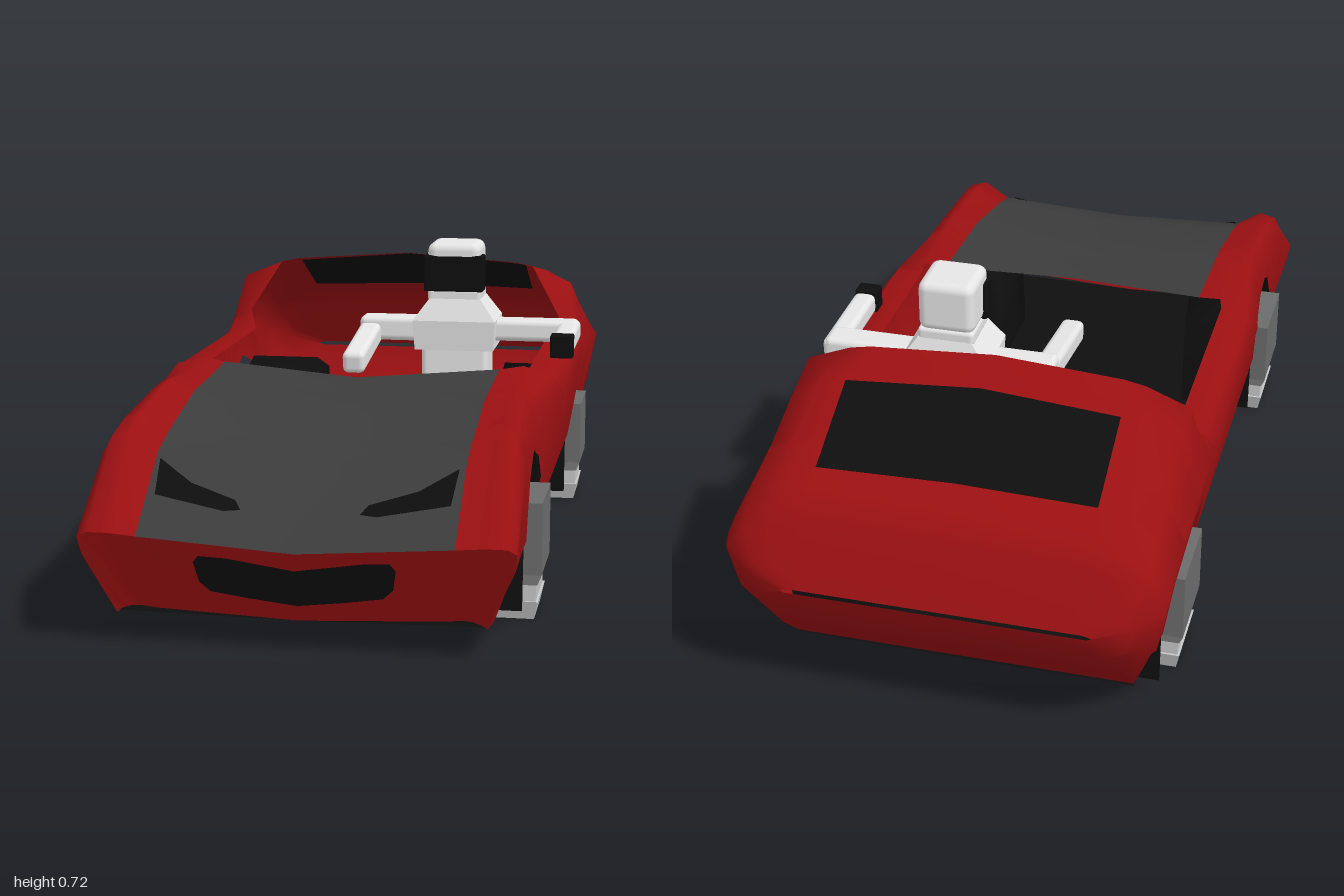
import * as THREE from 'three';
import { RoundedBoxGeometry } from 'three/addons/geometries/RoundedBoxGeometry.js';

const paint = (name, color) => {
  const m = new THREE.MeshStandardMaterial({ color, side: THREE.DoubleSide });
  m.name = name;
  return m;
};
const RED = 0, GREY = 1, BLACK = 2;

// Half sections: z, y0, then x,y of the panel edge, shoulder, upper corner, side, [sill, bottom]
const hoodKeys = [
  [1, .222, .33, .245, .39, .25, .435, .25, .455, .24, .45, .2, .39, .065],
  [.81, .37, .33, .385, .39, .425, .43, .415, .452, .375],
  [.73, .39, .33, .408, .39, .448, .425, .438, .448, .39],
  [.5, .435, .33, .457, .39, .48, .42, .465, .444, .41],
  [.37, .445, .33, .464, .39, .472, .43, .46, .46, .415],
  [.2, .455, .33, .474, .385, .482, .45, .465, .482, .42],
];
const cabinKeys = [
  [.195, .455, .33, .46, .39, .46, .455, .455, .484, .42],
  [-.38, .46, .33, .46, .39, .46, .455, .455, .485, .425],
  [-.44, .5, .31, .5, .415, .505, .455, .49, .485, .43],
  [-.49, .66, .29, .64, .34, .63, .44, .59, .485, .44],
];
const tailKeys = [
  [-.61, .645, .31, .62, .37, .605, .437, .565, .485, .43],
  [-.76, .562, .31, .552, .38, .54, .44, .51, .485, .42],
  [-.79, .548, .31, .538, .38, .527, .44, .5, .485, .415, .45, .2, .39, .05],
  [-.82, .535, .31, .526, .38, .515, .44, .49, .485, .41, .45, .21, .39, .08],
  [-.87, .51, .31, .503, .38, .493, .44, .47, .485, .4, .455, .23, .39, .13],
  [-.91, .49, .31, .483, .38, .472, .44, .45, .485, .385, .46, .25, .385, .175],
  [-.935, .45, .31, .445, .38, .438, .44, .42, .482, .37, .455, .27, .38, .205],
  [-.978, .375, .3, .372, .36, .37, .4, .365, .425, .345, .41, .29, .36, .26],
  [-1, .33, .2, .33, .27, .33, .32, .33, .34, .325, .33, .32, .28, .32],
];
const keys = [...hoodKeys, ...cabinKeys, ...tailKeys]
  .map(k => (k.length < 14 ? [...k, .447, .2, .39, .045] : k));

// Wheel arch outlines as z, y
const arches = [
  [[.73, .045], [.71, .24], [.65, .32], [.56, .36], [.47, .33], [.42, .27], [.408, .045]],
  [[-.388, .045], [-.4, .22], [-.42, .31], [-.57, .355], [-.745, .3], [-.76, .045]],
];

// Linear interpolation in a table whose first column falls
function sample(table, z) {
  for (let i = 0; i < table.length - 1; i++) {
    const a = table[i], b = table[i + 1];
    if (z <= a[0] && z >= b[0]) {
      const t = (a[0] - z) / (a[0] - b[0]);
      return a.map((v, n) => v + (b[n] - v) * t);
    }
  }
  return null;
}
const archHeight = z => {
  for (const a of arches) { const s = sample(a, z); if (s) return s[1]; }
  return 0;
};

// Half section points at z, with the lower side lifted to the wheel arch
function section(z) {
  const s = sample(keys, z), p = [[0, s[1], z]];
  for (let n = 2; n < 14; n += 2) p.push([s[n], s[n + 1], z]);
  const h = archHeight(z);
  if (h > p[6][1]) {
    const [a, b] = h > p[5][1] ? [p[4], p[5]] : [p[5], p[6]];
    const t = (a[1] - h) / (a[1] - b[1]);
    const q = [a[0] + (b[0] - a[0]) * t, h, z];
    if (h > p[5][1]) p[5] = q;
    p[6] = q;
  }
  p.push([0, p[6][1], z]);
  if (z === 1) { p[5][2] = .985; p[6][2] = .94; }
  if (z === .2) { p[0][2] = .265; p[1][2] = .21; }
  return p;
}

// Mirror a half row starting on the centre line
const mirrorRow = half => [
  ...half.slice(1).reverse().map(([x, y, z]) => [-x, y, z]), ...half];

// Surface through rows of points; pick(row, column) gives a material index, or -1 for a gap
function grid(name, rows, materials, pick = () => 0) {
  const n = rows[0].length, lists = materials.map(() => []);
  for (let i = 0; i < rows.length - 1; i++) for (let k = 0; k < n - 1; k++) {
    const m = pick(i, k), a = i * n + k, c = a + n;
    if (m >= 0) lists[m].push(a, a + 1, c, a + 1, c + 1, c);
  }
  const g = new THREE.BufferGeometry();
  g.setAttribute('position', new THREE.Float32BufferAttribute(rows.flat(2), 3));
  g.setIndex(lists.flat());
  let start = 0;
  lists.forEach((l, m) => { g.addGroup(start, l.length, m); start += l.length; });
  g.computeVertexNormals();
  const mesh = new THREE.Mesh(g, materials);
  mesh.name = name;
  return mesh;
}

export function createModel() {
  const car = new THREE.Group();
  car.name = 'car';
  const red = paint('bodyRed', 0x9c1012), grey = paint('hoodGrey', 0x3c3c3c);
  const black = paint('black', 0x0e0e0e), hub = paint('wheelGrey', 0x6c6c6c);
  const collar = paint('collarGrey', 0x969696), light = paint('lightGrey', 0xc8c8c8);
  const white = paint('white', 0xe6e6e6);
  const add = (name, geometry, material, parent = car) => {
    const m = new THREE.Mesh(geometry, material);
    m.name = name;
    parent.add(m);
    return m;
  };

  // Body shell with open cockpit, hood panel and rear window
  const zs = [...new Set([...keys.map(k => k[0]), ...arches.flat().map(a => a[0])])].sort((a, b) => b - a);
  car.add(grid('bodyShell', zs.map(z => mirrorRow(section(z))), [red, grey, black], (i, k) => {
    const j = k < 7 ? 6 - k : k - 7, a = zs[i], b = zs[i + 1];
    if (j < 2 && a <= .2 && b >= -.49) return -1;
    if (j === 6) return a <= -.79 ? RED : -1;
    if (j === 0 && b >= .2) return GREY;
    if (j === 0 && a <= -.61 && b >= -.82) return BLACK;
    return RED;
  }));

  // Nose below the hood
  const noseLow = [[0, .065], [.3, .078], [.34, .082], [.36, .08], [.375, .075], [.385, .07], [.39, .065]]
    .map(([x, y]) => [x, y, .94]);
  car.add(grid('nose', [mirrorRow(noseLow), mirrorRow(section(1).slice(0, 7))], [red]));

  // Floor, narrowed between the wheels
  const floorZ = [.94, ...zs.filter(z => z <= .73 && z >= -.79)];
  car.add(grid('floor', floorZ.map(z => {
    const w = archHeight(z) > .05 ? .26 : .39, y = z > .9 ? .065 : .043;
    return mirrorRow([[0, y, z], [w, z > .9 ? .07 : .045, z]]);
  }), [black]));

  // Wheel wells
  for (const side of [1, -1]) for (const arch of arches) {
    car.add(grid('wheelWell', [
      arch.map(([z]) => [side * .26, .045, z]),
      arch.map(([z, y]) => [side * .26, y, z]),
      arch.map(([z, y]) => [side * .44, y, z]),
    ], [black]));
  }

  // Grille and headlights as thin faces laid on the slopes
  const plate = (name, points, depth) => {
    const g = new THREE.ShapeGeometry(new THREE.Shape(points.map(p => new THREE.Vector2(...p))));
    const p = g.attributes.position;
    for (let i = 0; i < p.count; i++) p.setZ(i, depth(p.getX(i), p.getY(i)));
    g.computeVertexNormals();
    add(name, g, black);
  };
  const grilleHalf = [[0, .102], [.1, .115], [.18, .128], [.202, .15], [.21, .195], [.198, .21], [.14, .207], [0, .184]];
  plate('grille', [...grilleHalf, ...grilleHalf.slice(1, 7).reverse().map(([x, y]) => [-x, y])],
    (x, y) => .946 + (y - .065) * .38);
  const lamp = [[.125, .292], [.16, .29], [.31, .315], [.318, .375], [.24, .335], [.14, .308]];
  for (const side of [1, -1]) plate('headlight', lamp.map(([x, y]) => [side * x, y]),
    (x, y) => 1.01 - (y - .222 - .07 * Math.abs(x)) / .145 * .19);

  // Block with a tapered lower end
  const block = (name, mat, parent, yTop, yLow, w, d, wLow = w, dLow = d) => {
    const g = new THREE.BoxGeometry(w, yTop - yLow, d), p = g.attributes.position;
    for (let i = 0; i < p.count; i++) if (p.getY(i) < 0) {
      p.setX(i, p.getX(i) * wLow / w);
      p.setZ(i, p.getZ(i) * dLow / d);
    }
    g.computeVertexNormals();
    const m = add(name, g, mat, parent);
    m.position.y = (yTop + yLow) / 2;
  };

  // Wheels
  for (const side of [1, -1]) for (const z of [.56, -.575]) {
    const wheel = new THREE.Group();
    wheel.name = 'wheel';
    block('wheelBlock', hub, wheel, .265, .105, .135, .2);
    block('wheelCollar', collar, wheel, .105, .08, .135, .2, .115, .18);
    block('wheelStem', light, wheel, .08, .042, .108, .165);
    block('wheelFoot', light, wheel, .042, 0, .118, .175, .1, .15);
    wheel.position.set(side * .407, 0, z);
    car.add(wheel);
  }

  // Driver
  const driver = new THREE.Group();
  driver.name = 'driver';
  car.add(driver);
  const soft = (name, mat, size, pos, r = .015) => {
    const m = add(name, new RoundedBoxGeometry(...size, 2, r), mat, driver);
    m.position.set(...pos);
    return m;
  };
  soft('torso', white, [.17, .44, .14], [.17, .31, -.26]);
  const shoulders = new THREE.Group();
  shoulders.name = 'shoulders';
  shoulders.position.set(.17, 0, -.26);
  driver.add(shoulders);
  block('upperChest', white, shoulders, .58, .525, .13, .13, .21, .17);
  block('lowerChest', white, shoulders, .525, .45, .21, .17, .2, .16);
  soft('collar', white, [.135, .035, .13], [.168, .588, -.26], .01);
  soft('head', white, [.135, .125, .137], [.167, .66, -.257], .022);
  soft('visor', black, [.152, .092, .055], [.167, .645, -.215], .005);
  soft('rightUpperArm', white, [.2, .062, .075], [.02, .495, -.26]);
  soft('rightForearm', white, [.056, .055, .28], [-.052, .465, -.11]).rotation.x = .14;
  soft('leftUpperArm', white, [.24, .055, .075], [.36, .497, -.26]);
  soft('leftForearm', white, [.054, .052, .25], [.457, .495, -.172]);
  soft('leftHand', black, [.056, .056, .045], [.457, .495, -.028], .004);

  return car;
}
